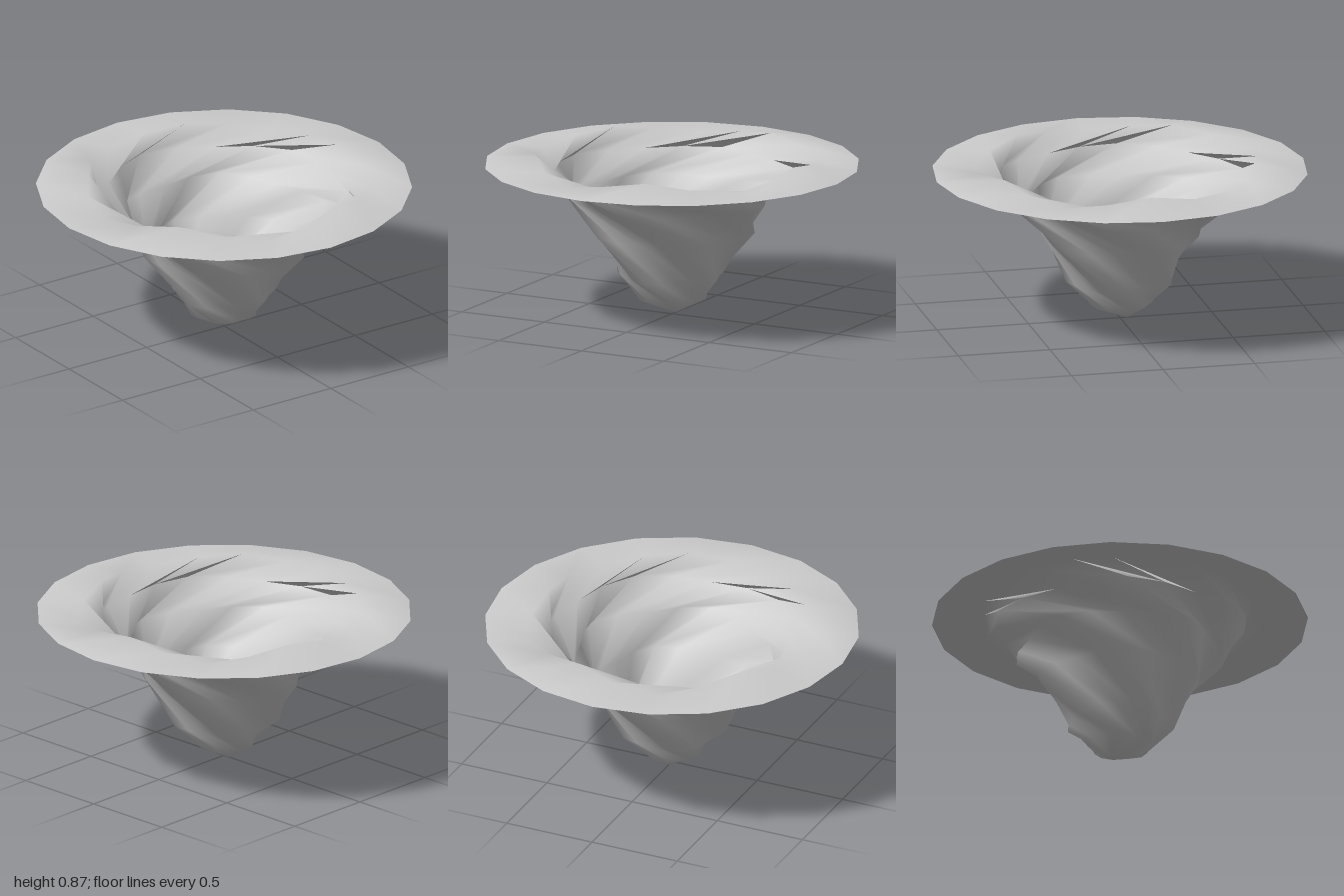
import * as THREE from 'three';

const SIDES = 20, LOBES = 5;

// Rings from the bottom out: height, radius, radius ripple, height ripple, twist in degrees.
// Each ring is narrowest where its five grooves lie, at the twist angle.
const RINGS = [
  { y: 0.09, r: 0.17, ripple: 0.012, lift: 0, twist: -126 },
  { y: 0.22, r: 0.275, ripple: 0.02, lift: 0, twist: -90 },
  { y: 0.46, r: 0.42, ripple: 0.025, lift: 0, twist: -56 },
  { y: 0.64, r: 0.54, ripple: 0.035, lift: 0, twist: -22 },
  { y: 0.765, r: 0.66, ripple: 0.03, lift: 0, twist: 12 },
  { y: 0.847, r: 0.75, ripple: -0.03, lift: -0.028, twist: 36 },
  { y: 0.82, r: 1, ripple: 0, lift: 0, twist: 36 },
];

function whirlGeometry() {
  const positions = [0, 0.003, -0.04]; // bottom tip
  const index = [];
  const at = (ring, i) => 1 + ring * SIDES + (i % SIDES);

  for (const { y, r, ripple, lift, twist } of RINGS) {
    for (let i = 0; i < SIDES; i++) {
      const a = (i / SIDES) * Math.PI * 2;
      const wave = Math.cos(LOBES * a);
      const angle = a + THREE.MathUtils.degToRad(twist);
      const radius = r - ripple * wave;
      positions.push(radius * Math.cos(angle), y + lift * wave, radius * Math.sin(angle));
    }
  }

  // Tip fan, then bands between neighbouring rings
  for (let i = 0; i < SIDES; i++) {
    index.push(0, at(0, i + 1), at(0, i));
    for (let k = 0; k < RINGS.length - 1; k++) {
      const a = at(k, i), b = at(k, i + 1), c = at(k + 1, i), d = at(k + 1, i + 1);
      index.push(a, b, d, a, d, c);
    }
  }

  const geometry = new THREE.BufferGeometry();
  geometry.setAttribute('position', new THREE.Float32BufferAttribute(positions, 3));
  geometry.setIndex(index);
  geometry.computeVertexNormals();
  return geometry;
}

export function createModel() {
  const group = new THREE.Group();
  group.name = 'whirlpool';
  const material = new THREE.MeshStandardMaterial({ color: 0xcccccc, side: THREE.DoubleSide });
  const funnel = new THREE.Mesh(whirlGeometry(), material);
  funnel.name = 'twistedFunnel';
  group.add(funnel);
  return group;
}
